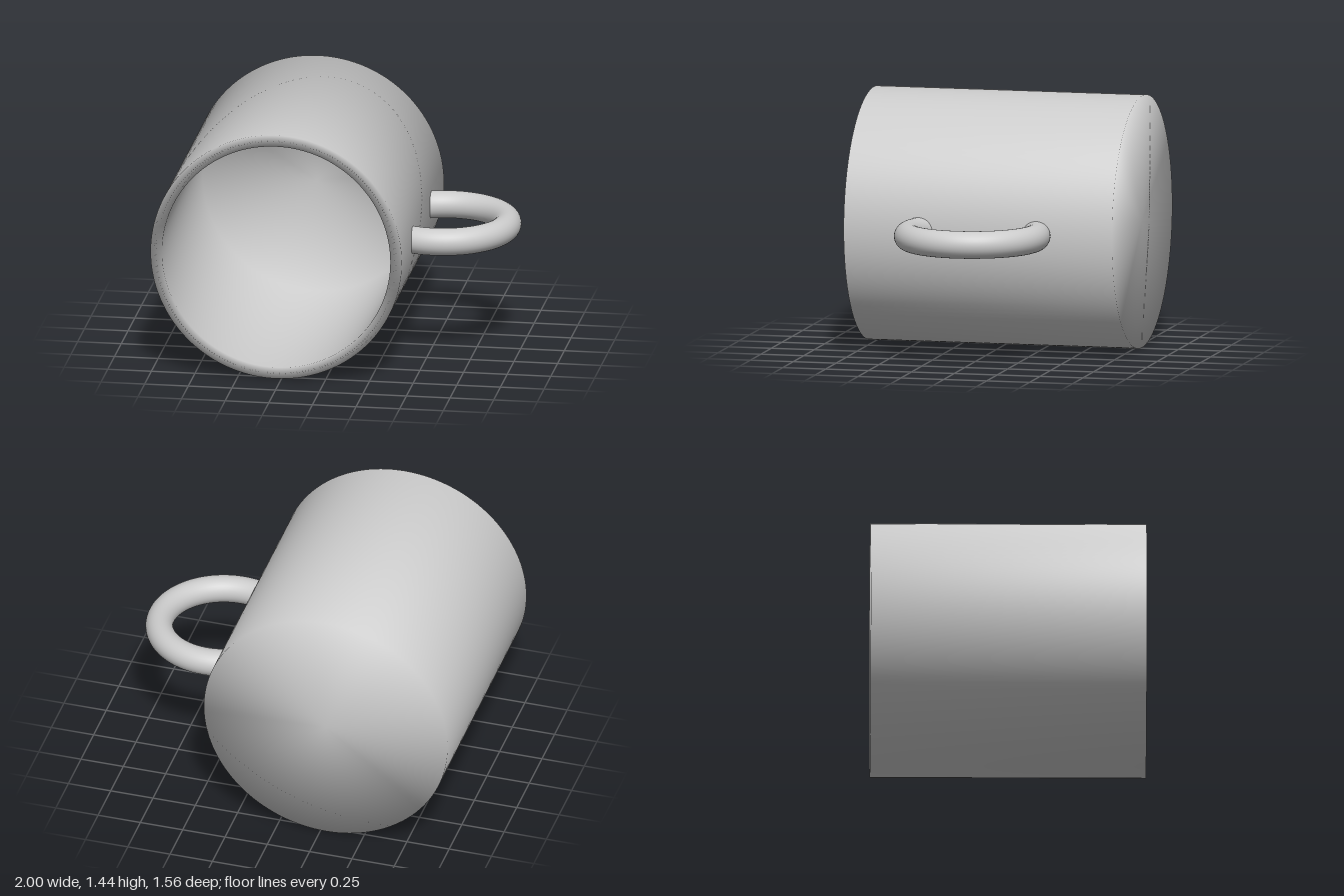
import * as THREE from 'three';

const CX = -0.28, CY = 0.72;      // axis of the body
const R = 0.72, HALF = 0.782;     // outer radius and half length
const WALL = 0.066;

export function createModel() {
  const group = new THREE.Group();
  group.name = 'mug';
  const grey = new THREE.MeshStandardMaterial({ color: 0xcccccc });

  // Hollow body lying on its side, open towards +z, soft shading over the rims
  const profile = [
    [0, -HALF], [R, -HALF], [R, HALF],
    [R - WALL, HALF], [R - WALL, -HALF + WALL], [0, -HALF + WALL],
  ].map(([r, y]) => new THREE.Vector2(r, y));
  const bodyGeo = new THREE.LatheGeometry(profile, 128);
  bodyGeo.rotateX(Math.PI / 2);
  const body = new THREE.Mesh(bodyGeo, grey);
  body.name = 'body';
  body.position.set(CX, CY, 0);
  group.add(body);

  // Ring handle, its ends trimmed flat inside the wall
  const arc = THREE.MathUtils.degToRad(236);
  const handleGeo = new THREE.TorusGeometry(0.365, 0.078, 32, 96, arc);
  handleGeo.rotateZ(-arc / 2);
  handleGeo.rotateX(Math.PI / 2);
  handleGeo.translate(0.557, 0.725, 0.004);
  const p = handleGeo.attributes.position;
  for (let i = 0; i < p.count; i++) p.setX(i, Math.max(p.getX(i), 0.41));
  const handle = new THREE.Mesh(handleGeo, grey);
  handle.name = 'handle';
  group.add(handle);

  return group;
}
